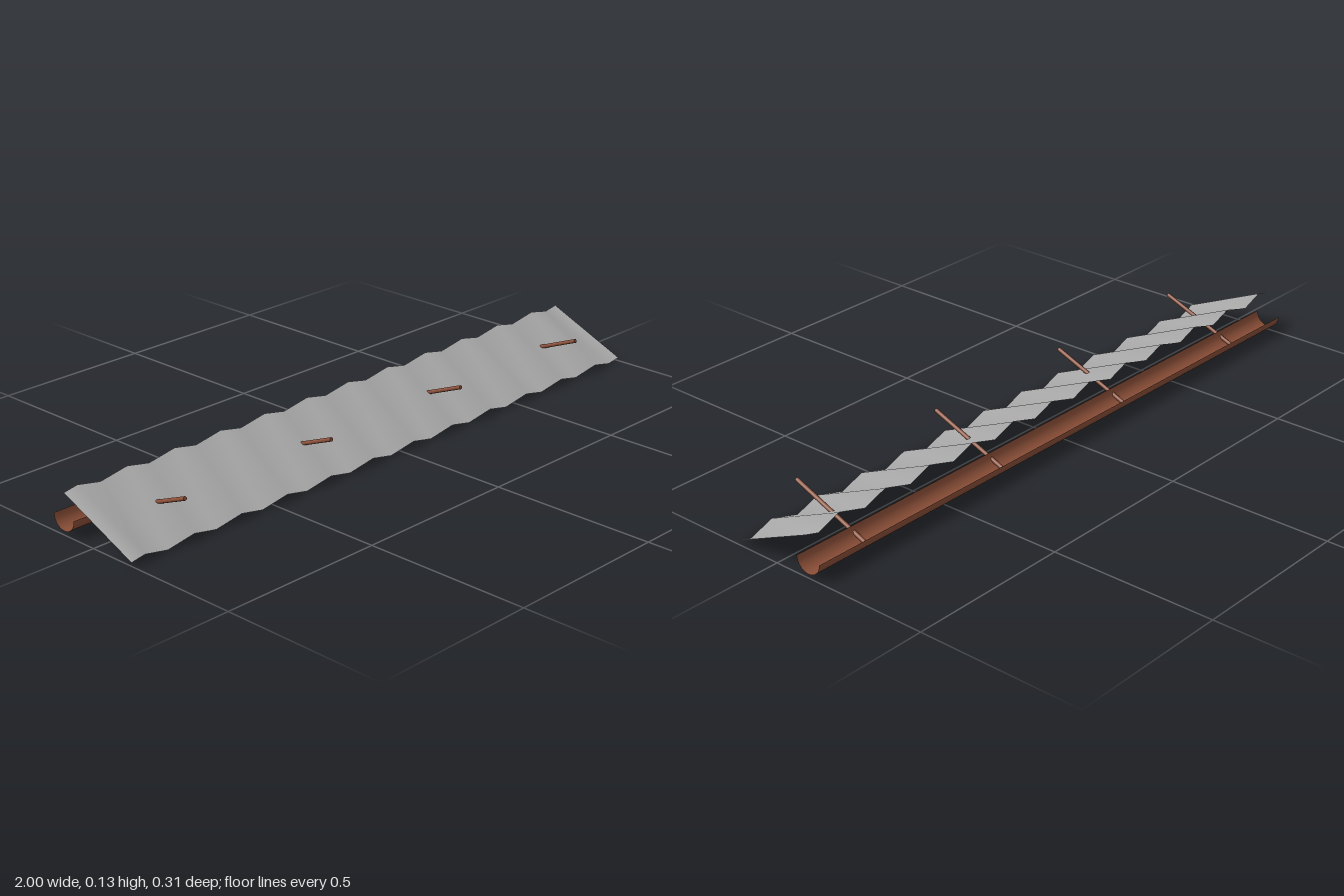
import * as THREE from 'three';

const mat = (name, color, side = THREE.FrontSide) => {
  const m = new THREE.MeshStandardMaterial({ color, side });
  m.name = name;
  return m;
};

export function createModel() {
  const group = new THREE.Group();
  const metal = mat('grey sheet metal', 0xa9a9a9, THREE.DoubleSide);
  const brown = mat('brown metal', 0x8b4f38, THREE.DoubleSide);

  const add = (name, geometry, material) => {
    const mesh = new THREE.Mesh(geometry, material);
    mesh.name = name;
    group.add(mesh);
    return mesh;
  };

  // Corrugated sheet: columns at each crest and trough, plus both ends
  const waves = 12, amplitude = 0.011, columns = waves * 2 + 2;
  const sheetGeo = new THREE.PlaneGeometry(2, 0.28, columns - 1, 1);
  sheetGeo.rotateX(-Math.PI / 2);
  const pos = sheetGeo.attributes.position;
  for (let i = 0; i < pos.count; i++) {
    const c = i % columns;
    const end = c === 0 || c === columns - 1;
    pos.setX(i, c === 0 ? -1 : end ? 1 : -1 + (c - 0.5) / waves);
    pos.setY(i, end ? 0 : c % 2 ? amplitude : -amplitude);
  }
  sheetGeo.computeVertexNormals();
  const sheet = add('corrugatedSheet', sheetGeo, metal);
  sheet.rotation.x = Math.atan2(0.112, 0.2575);
  sheet.position.set(0, 0.0665, 0.0195);

  // Half-round gutter, open at the top and at both ends
  const gutterGeo = new THREE.CylinderGeometry(0.04, 0.04, 2, 16, 1, true, Math.PI, Math.PI);
  gutterGeo.rotateZ(Math.PI / 2);
  // the half-pipe's open side faces up
  gutterGeo.computeBoundingBox();
  if (gutterGeo.boundingBox.max.y > 0.02) gutterGeo.rotateX(Math.PI);
  add('gutter', gutterGeo, brown).position.set(0, 0.052, -0.115);

  // Four slanted support rods running from the gutter up through the sheet
  const low = new THREE.Vector3(0, 0.017, -0.115);
  const high = new THREE.Vector3(0, 0.115, 0.13);
  const along = high.clone().sub(low);
  const rodGeo = new THREE.CylinderGeometry(0.006, 0.006, along.length(), 8);
  for (let i = 0; i < 4; i++) {
    const rod = add('supportRod' + (i + 1), rodGeo, brown);
    rod.position.copy(low).add(high).multiplyScalar(0.5);
    rod.position.x = -0.8 + (i * 1.6) / 3;
    rod.quaternion.setFromUnitVectors(new THREE.Vector3(0, 1, 0), along.clone().normalize());
  }
  return group;
}
